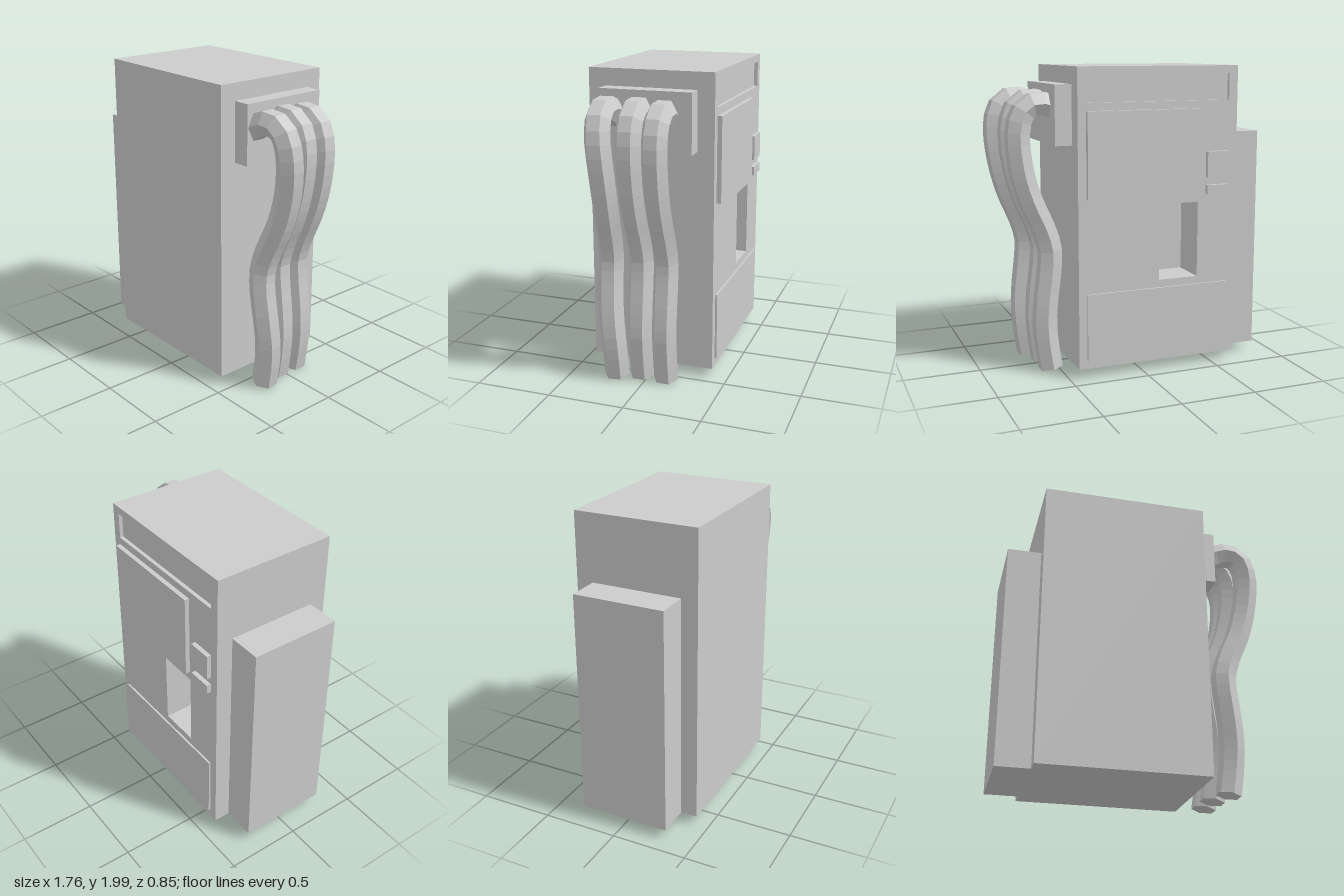
import * as THREE from 'three';

const grey = new THREE.MeshStandardMaterial({ color: 0xcccccc, flatShading: true });

// Box given by its extents on each axis
function block(name, [x0, x1], [y0, y1], [z0, z1]) {
  const mesh = new THREE.Mesh(new THREE.BoxGeometry(x1 - x0, y1 - y0, z1 - z0), grey);
  mesh.position.set((x0 + x1) / 2, (y0 + y1) / 2, (z0 + z1) / 2);
  mesh.name = name;
  return mesh;
}

function rectangle(path, [x0, x1], [y0, y1]) {
  path.moveTo(x0, y0).lineTo(x1, y0).lineTo(x1, y1).lineTo(x0, y1).closePath();
  return path;
}

// Slab of the cabinet with rectangular openings cut through it
function slab(name, xs, ys, [z0, z1], openings) {
  const shape = rectangle(new THREE.Shape(), xs, ys);
  for (const [ox, oy] of openings) shape.holes.push(rectangle(new THREE.Path(), ox, oy));
  const geometry = new THREE.ExtrudeGeometry(shape, { depth: z1 - z0, bevelEnabled: false });
  const mesh = new THREE.Mesh(geometry, grey);
  mesh.position.z = z0;
  mesh.name = name;
  return mesh;
}

// Six-sided hose with closed ends
function hose(name, points) {
  const radius = 0.083;
  const curve = new THREE.CatmullRomCurve3(points);
  const group = new THREE.Group();
  group.name = name;
  const tube = new THREE.Mesh(new THREE.TubeGeometry(curve, 28, radius, 6), grey);
  tube.name = name + 'Tube';
  group.add(tube);
  for (const t of [0, 1]) {
    const cap = new THREE.Mesh(new THREE.CircleGeometry(radius, 6), grey);
    const end = curve.getPointAt(t);
    const outward = curve.getTangentAt(t).multiplyScalar(t ? 1 : -1);
    cap.position.copy(end);
    cap.lookAt(end.clone().add(outward));
    cap.name = name + 'Cap';
    group.add(cap);
  }
  return group;
}

export function createModel() {
  const model = new THREE.Group();
  model.name = 'vendingCabinet';

  // Cabinet in layers, so the sign and the tray are real recesses
  const xs = [-0.66, 0.44], ys = [0.075, 2];
  const sign = [[-0.6, 0.38], [1.78, 1.95]];
  const tray = [[-0.385, -0.11], [0.62, 1.12]];
  model.add(
    block('cabinet', xs, ys, [-0.15, 0.42]),
    slab('trayLayer', xs, ys, [-0.375, -0.15], [tray]),
    slab('facePlate', xs, ys, [-0.4, -0.375], [sign, tray]),
  );

  // Raised panels on the face
  model.add(
    block('displayPanel', [-0.38, 0.385], [1.18, 1.73], [-0.43, -0.4]),
    block('keypad', [-0.6, -0.44], [1.28, 1.45], [-0.43, -0.4]),
    block('coinSlot', [-0.6, -0.44], [1.17, 1.23], [-0.43, -0.4]),
    block('lowerPanel', [-0.6, 0.385], [0.13, 0.57], [-0.413, -0.4]),
  );

  // Side cabinet and hose mount
  model.add(
    block('sideCabinet', [-0.88, -0.66], [0.075, 1.56], [-0.29, 0.31]),
    block('hoseMount', [0.44, 0.55], [1.51, 1.89], [-0.29, 0.31]),
  );

  // Hose path, drooping from the mount: x, y
  const path = [
    [0.51, 1.72], [0.58, 1.765], [0.66, 1.787], [0.74, 1.765], [0.785, 1.7], [0.805, 1.6],
    [0.8, 1.47], [0.77, 1.3], [0.72, 1.14], [0.645, 0.97], [0.605, 0.83], [0.61, 0.7],
    [0.635, 0.5], [0.645, 0.35], [0.635, 0.2], [0.61, 0.032],
  ];
  // The front hose sways sideways along its length
  const sway = (y) => 0.21 + 0.016 * Math.cos((y - 0.7) * Math.PI / 0.6);
  const hoses = [
    ['frontHose', 0, 0, sway],
    ['middleHose', -0.055, -0.006, () => 0.04],
    ['rearHose', -0.06, -0.018, () => -0.122],
  ];
  for (const [name, dx, dy, z] of hoses) {
    model.add(hose(name, path.map(([x, y], i) => {
      const drop = i < 8 ? dy : dy * 0.5;
      return new THREE.Vector3(x + dx, y + drop, z(y));
    })));
  }
  return model;
}
